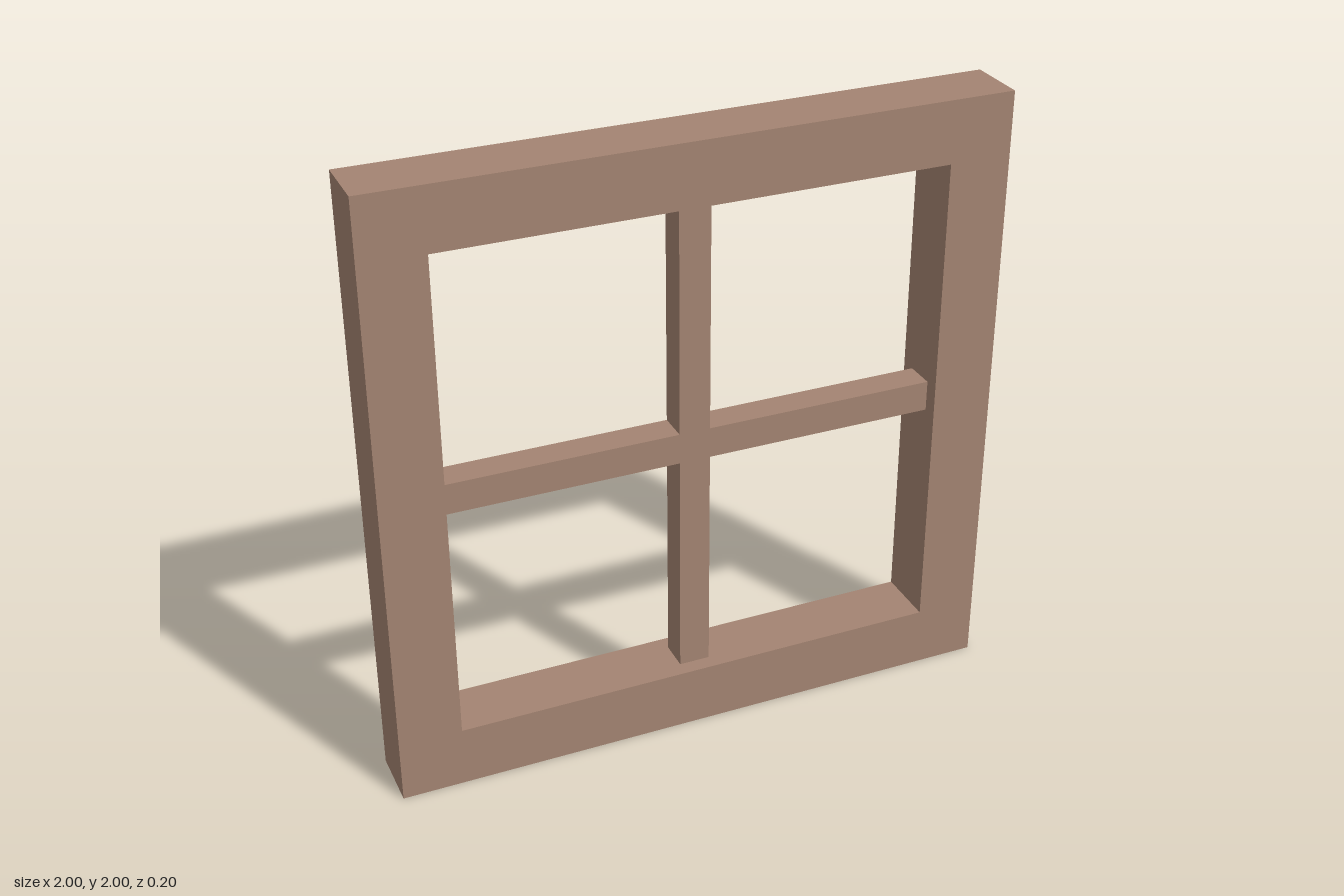
import * as THREE from 'three';

export function createModel() {
  const model = new THREE.Group();
  model.name = 'window';
  const wood = new THREE.MeshStandardMaterial({ color: 0xa48472 });
  wood.name = 'brown wood';

  const size = 2, border = 0.2, depth = 0.2;
  const opening = size - 2 * border;
  const barWidth = 0.1, barDepth = 0.1;

  // Square outline centred on the origin
  const square = (PathType, side) => {
    const h = side / 2;
    return new PathType([[-h, -h], [h, -h], [h, h], [-h, h]].map(([x, y]) => new THREE.Vector2(x, y))).closePath();
  };

  const add = (name, geometry) => {
    const mesh = new THREE.Mesh(geometry, wood);
    mesh.name = name;
    mesh.position.y = size / 2;
    model.add(mesh);
  };

  // Outer frame with a square opening
  const outline = square(THREE.Shape, size);
  outline.holes.push(square(THREE.Path, opening));
  const frame = new THREE.ExtrudeGeometry(outline, { depth, bevelEnabled: false });
  frame.translate(0, 0, -depth / 2);
  add('frame', frame);

  // Crossed glazing bars, thinner than the frame, joined as one plus-shaped piece
  const w = barWidth / 2, h = opening / 2;
  const cross = new THREE.Shape([
    [-w, -h], [w, -h], [w, -w], [h, -w], [h, w], [w, w],
    [w, h], [-w, h], [-w, w], [-h, w], [-h, -w], [-w, -w],
  ].map(([x, y]) => new THREE.Vector2(x, y)));
  const bars = new THREE.ExtrudeGeometry(cross, { depth: barDepth, bevelEnabled: false });
  bars.translate(0, 0, -barDepth / 2);
  add('glazingBars', bars);

  return model;
}
